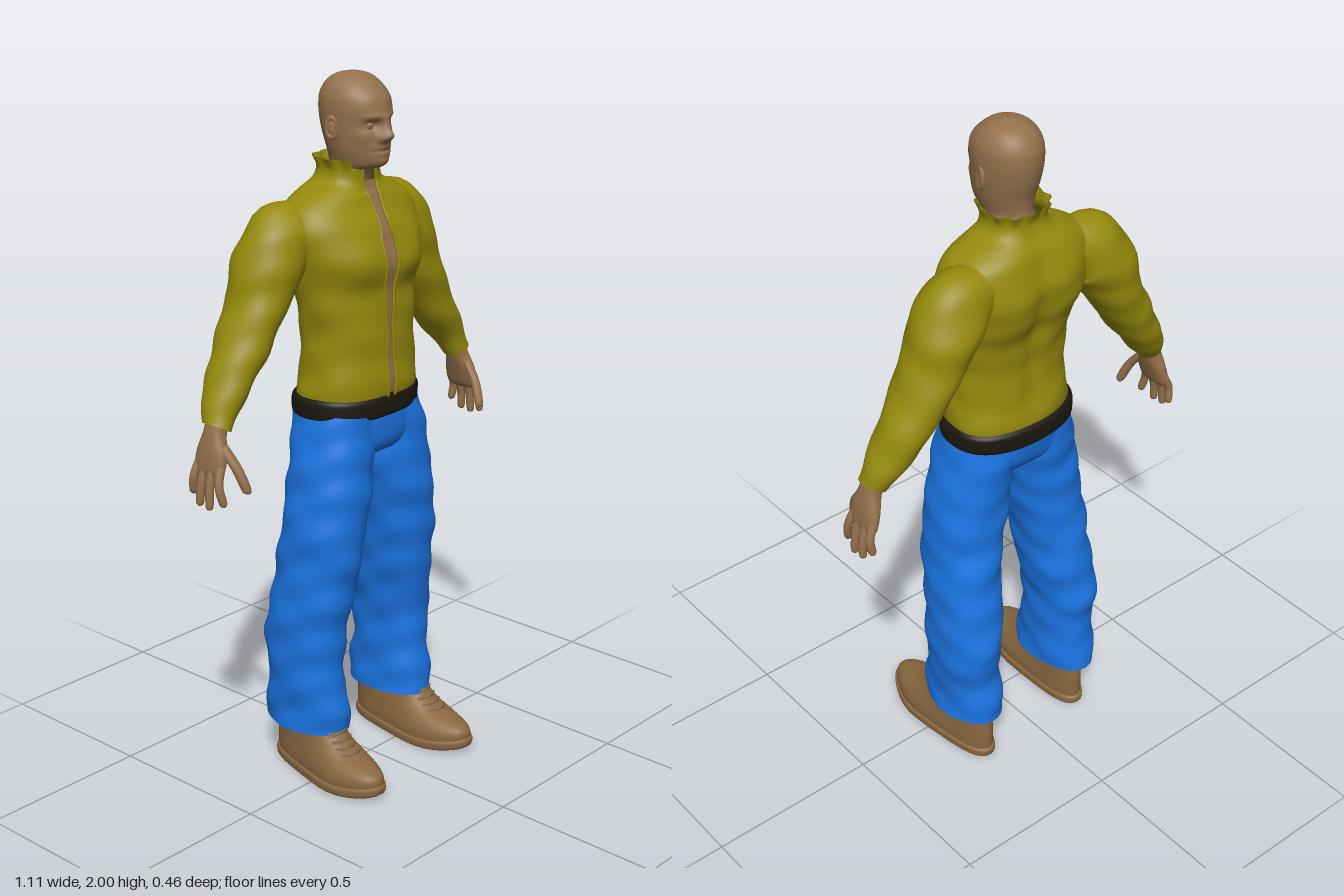
import * as THREE from 'three';

const mat = (color) => new THREE.MeshStandardMaterial({ color, roughness: 0.8, side: THREE.DoubleSide });
const skin = mat(0x94714c), jacketCloth = mat(0x958a0c), denim = mat(0x1a73e0);
const leather = mat(0x8a6840), darkCloth = mat(0x1c180f);

const gauss = (d, s) => Math.exp(-(d * d) / (2 * s * s));
const spow = (v, e) => Math.sign(v) * Math.abs(v) ** e;
const spline = (a, b, c, d, t) => b + 0.5 * t * (c - a + t * (2 * a - 5 * b + 4 * c - d + t * (3 * (b - c) + d - a)));

// Smooth skin over sections [x, y, zFront, zBack, halfWidth, gapHalfWidth]; bump pushes points outwards.
function loft(sections, { n = 40, steps = 6, pow = 2, bump, cap = false, strip = 0 } = {}) {
  const rows = [], last = sections.length - 1;
  const at = (i) => sections[Math.min(Math.max(i, 0), last)];
  for (let k = 0; k <= last * steps; k++) {
    const i = Math.min(Math.floor(k / steps), last - 1), t = k / steps - i;
    rows.push(at(i).map((_, c) => spline(at(i - 1)[c], at(i)[c], at(i + 1)[c], at(i + 2)[c], t)));
  }
  const open = strip > 0 || sections[0].length > 5, cols = open ? n + 1 : n;
  const pos = [], index = [];
  const ring = (k, size) => {
    const [x, y, zf, zb, a, gap = 0] = rows[k];
    const p = rows[Math.max(k - 1, 0)], q = rows[Math.min(k + 1, rows.length - 1)];
    const len = Math.hypot(q[0] - p[0], q[1] - p[1]) || 1;
    const ux = (q[1] - p[1]) / len, uy = -(q[0] - p[0]) / len;
    const g = strip ? Math.PI - strip : (gap / a) ** (pow / 2);
    for (let j = 0; j < cols; j++) {
      const th = (strip ? -Math.PI / 2 : Math.PI / 2) + g + (2 * Math.PI - 2 * g) * j / n;
      const c = Math.cos(th), s = Math.sin(th);
      const w = spow(c, 2 / pow) * a * size, h = spow(s, 2 / pow) * (zf - zb) / 2 * size;
      const px = x + ux * w, py = y + uy * w, pz = (zf + zb) / 2 + h;
      const o = bump ? bump(px, py, pz, s, th) * size : 0;
      pos.push(px + ux * c * o, py + uy * c * o, pz + s * o);
    }
  };
  if (cap) ring(0, 0.001);
  rows.forEach((_, k) => ring(k, 1));
  if (cap) ring(rows.length - 1, 0.001);
  const count = pos.length / 3 / cols;
  for (let i = 0; i < count - 1; i++) for (let j = 0; j < n; j++) {
    const j2 = (j + 1) % cols, a = i * cols + j, b = i * cols + j2;
    index.push(a, a + cols, b, b, a + cols, b + cols);
  }
  const geo = new THREE.BufferGeometry();
  geo.setAttribute('position', new THREE.Float32BufferAttribute(pos, 3));
  geo.setIndex(index);
  geo.computeVertexNormals();
  geo.userData.cols = cols;
  return geo;
}

function add(parent, name, geo, material) {
  const mesh = new THREE.Mesh(geo, material);
  mesh.name = name;
  parent.add(mesh);
  return mesh;
}
const mirror = (sections, s) => sections.map(([x, ...rest]) => [x * s, ...rest]);
const tube = (pts, r, seg = 12) => new THREE.TubeGeometry(new THREE.CatmullRomCurve3(pts), seg, r, 6);

// Cloth folds
const folds = (amp) => (x, y, z) => amp * (Math.sin(33 * y + 17 * x + 9 * z) * Math.sin(19 * z - 15 * x + 6 * y)
  + 0.6 * Math.sin(57 * y - 30 * z + 12 * x));

// Chest, shoulder blades, spine and frilled collar
function torsoBump(x, y, z, s, th) {
  const ax = Math.abs(x), front = Math.max(s, 0), back = Math.max(-s, 0);
  return front * (0.014 * gauss(ax - 0.1, 0.05) * gauss(y - 1.51, 0.045) - 0.008 * gauss(ax - 0.1, 0.07) * gauss(y - 1.42, 0.025))
    + back * (0.012 * gauss(ax - 0.1, 0.045) * gauss(y - 1.54, 0.07) - 0.016 * gauss(x, 0.022) * gauss(y - 1.45, 0.16))
    + (y > 1.74 ? 0.005 * Math.sin(th * 11) * (y - 1.74) / 0.03 : y < 1.68 ? folds(0.0025)(x, y, z) : 0);
}

// Nose, brow, eye sockets, mouth, chin and cheeks
function faceBump(x, y, z, s) {
  if (s <= 0) return 0;
  const ax = Math.abs(x);
  return s * (0.026 * gauss(x, 0.011) * gauss(y - 1.838, 0.012) + 0.016 * gauss(x, 0.009) * gauss(y - 1.864, 0.018)
    + 0.008 * gauss(ax - 0.015, 0.006) * gauss(y - 1.832, 0.007)
    + 0.008 * gauss(ax - 0.028, 0.022) * gauss(y - 1.888, 0.008) - 0.013 * gauss(ax - 0.034, 0.014) * gauss(y - 1.867, 0.011)
    + 0.007 * gauss(x, 0.022) * gauss(y - 1.797, 0.013) - 0.007 * gauss(x, 0.022) * gauss(y - 1.798, 0.003)
    + 0.008 * gauss(x, 0.02) * gauss(y - 1.765, 0.01) + 0.004 * gauss(ax - 0.055, 0.014) * gauss(y - 1.84, 0.014));
}

function buildHead(root) {
  const head = new THREE.Group();
  head.name = 'head';
  root.add(head);
  const rows = [[1.62, -0.03, -0.15, 0.07], [1.7, -0.02, -0.14, 0.062], [1.738, -0.005, -0.135, 0.06],
    [1.752, 0.032, -0.133, 0.062], [1.77, 0.046, -0.133, 0.068], [1.8, 0.05, -0.138, 0.077], [1.84, 0.05, -0.15, 0.084],
    [1.88, 0.05, -0.158, 0.088], [1.91, 0.052, -0.16, 0.089], [1.94, 0.043, -0.156, 0.085], [1.97, 0.015, -0.138, 0.069],
    [1.99, -0.015, -0.108, 0.043], [2, -0.055, -0.06, 0.002]];
  add(head, 'face and neck', loft(rows.map((r) => [0, ...r]), { n: 96, steps: 8, bump: faceBump }), skin);
  for (const s of [1, -1]) {
    const eye = add(head, 'eye', new THREE.SphereGeometry(0.013, 16, 12), skin);
    eye.position.set(s * 0.034, 1.866, 0.024);
    const ear = new THREE.Group();
    ear.name = 'ear';
    add(ear, 'ear rim', new THREE.TorusGeometry(0.018, 0.006, 8, 20), skin).scale.set(0.85, 1.45, 1);
    add(ear, 'ear bowl', new THREE.SphereGeometry(0.017, 14, 10), skin).scale.set(0.8, 1.4, 0.35);
    ear.position.set(s * 0.088, 1.857, -0.058);
    ear.rotation.y = s * (Math.PI / 2 - 0.3);
    head.add(ear);
  }
}

function buildJacket(root) {
  const body = [[0, 1.1, 0.075, -0.183, 0.182, 0.014], [0, 1.14, 0.08, -0.183, 0.184, 0.014], [0, 1.2, 0.077, -0.175, 0.178, 0.016],
    [0, 1.3, 0.073, -0.168, 0.174, 0.013], [0, 1.4, 0.073, -0.182, 0.188, 0.017], [0, 1.48, 0.077, -0.205, 0.205, 0.024],
    [0, 1.55, 0.068, -0.215, 0.222, 0.026], [0, 1.6, 0.05, -0.212, 0.224, 0.018], [0, 1.65, 0.024, -0.198, 0.205, 0.02],
    [0, 1.685, 0.006, -0.182, 0.15, 0.024], [0, 1.71, -0.002, -0.168, 0.098, 0.028], [0, 1.74, 0, -0.16, 0.084, 0.026],
    [0, 1.772, 0.006, -0.168, 0.093, 0.03]];
  const shell = loft(body, { n: 80, pow: 2.4, bump: torsoBump });
  add(root, 'jacket body', shell, jacketCloth);
  // Rolled hems along the open front
  const p = shell.attributes.position, cols = shell.userData.cols;
  for (const edge of [0, cols - 1]) {
    const pts = [];
    for (let i = edge; i < p.count; i += cols * 2) pts.push(new THREE.Vector3().fromBufferAttribute(p, i));
    add(root, 'jacket front hem', tube(pts, 0.005, 80), jacketCloth);
  }
  // Bare chest showing in the opening
  const chest = body.slice(0, 11).map(([x, y, f, b, a]) => [x, y, f - 0.006, b, a]);
  add(root, 'chest', loft(chest, { n: 24, pow: 2.4, bump: torsoBump, strip: 0.4 }), skin);
  const waist = [[0, 1.065, 0.074, -0.186, 0.185], [0, 1.075, 0.082, -0.194, 0.193], [0, 1.1, 0.084, -0.196, 0.195],
    [0, 1.12, 0.083, -0.194, 0.193], [0, 1.13, 0.074, -0.184, 0.183]];
  add(root, 'waistband', loft(waist, { n: 64, pow: 2.4, bump: folds(0.0015) }), darkCloth);
}

function buildArm(root, s) {
  const arm = new THREE.Group();
  arm.name = s > 0 ? 'leftArm' : 'rightArm';
  root.add(arm);
  const sleeve = [[0.15, 1.6, -0.05, -0.19, 0.07], [0.22, 1.57, -0.03, -0.212, 0.1], [0.272, 1.5, -0.028, -0.224, 0.095],
    [0.31, 1.42, -0.035, -0.218, 0.078], [0.36, 1.33, -0.04, -0.21, 0.067], [0.42, 1.235, -0.05, -0.195, 0.058],
    [0.467, 1.165, -0.056, -0.168, 0.046], [0.495, 1.115, -0.058, -0.147, 0.038]];
  add(arm, 'sleeve', loft(mirror(sleeve, s), { bump: folds(0.003) }), jacketCloth);
  const palm = [[0.484, 1.15, -0.07, -0.135, 0.025], [0.5, 1.1, -0.068, -0.135, 0.026], [0.514, 1.05, -0.048, -0.15, 0.023],
    [0.524, 1.005, -0.048, -0.153, 0.017], [0.527, 0.988, -0.06, -0.143, 0.01]];
  add(arm, 'palm', loft(mirror(palm, s), { n: 24, pow: 2.4, cap: true }), skin);
  const digit = (name, pts, r) => {
    const rows = pts.map(([x, y, z], i) => [x, y, z + r * (1 - i * 0.1), z - r * (1 - i * 0.1), r * (1 - i * 0.1)]);
    const [x, y, z] = pts[pts.length - 1];
    rows.push([x, y - r * 0.7, z + 0.002, z - 0.002, 0.002]);
    add(arm, name, loft(mirror(rows, s), { n: 12, steps: 4, cap: true }), skin);
  };
  // Fingers: [root z, tip z, tip x, tip y]
  for (const [z, tz, tx, ty] of [[-0.06, -0.04, 0.535, 0.925], [-0.087, -0.082, 0.545, 0.91], [-0.114, -0.118, 0.545, 0.914], [-0.14, -0.15, 0.537, 0.938]])
    digit('finger', [[0.522, 1.02, z], [0.54, (1.02 + ty) / 2, (z + tz) / 2], [tx, ty, tz]], 0.0135);
  digit('thumb', [[0.508, 1.075, -0.07], [0.497, 1.02, -0.027], [0.485, 0.96, -0.002]], 0.016);
}

function buildTrousers(root) {
  const hips = [[0, 1.09, 0.074, -0.18, 0.184], [0, 1.04, 0.075, -0.172, 0.192], [0, 0.99, 0.07, -0.163, 0.195],
    [0, 0.955, 0.045, -0.13, 0.17], [0, 0.935, -0.02, -0.07, 0.1]];
  add(root, 'trouser hips', loft(hips, { n: 56, pow: 2.4, bump: folds(0.002) }), denim);
  const leg = [[0.098, 1.08, 0.07, -0.17, 0.088], [0.106, 1, 0.074, -0.166, 0.103], [0.12, 0.9, 0.08, -0.162, 0.108],
    [0.139, 0.8, 0.081, -0.162, 0.107], [0.153, 0.7, 0.076, -0.17, 0.102], [0.164, 0.6, 0.066, -0.185, 0.097],
    [0.173, 0.5, 0.05, -0.2, 0.096], [0.183, 0.4, 0.038, -0.213, 0.09], [0.182, 0.3, 0.04, -0.205, 0.085],
    [0.178, 0.2, 0.053, -0.216, 0.086], [0.178, 0.145, 0.057, -0.222, 0.087]];
  for (const s of [1, -1])
    add(root, s > 0 ? 'leftTrouserLeg' : 'rightTrouserLeg', loft(mirror(leg, s), { n: 48, pow: 2.2, bump: folds(0.004) }), denim);
}

function buildShoe(root, s) {
  const shoe = new THREE.Group();
  shoe.name = s > 0 ? 'leftShoe' : 'rightShoe';
  // Wider at the ball of the foot, with the toe lifted
  const shape = (geo) => {
    const p = geo.attributes.position;
    for (let i = 0; i < p.count; i++) {
      const z = p.getZ(i);
      p.setX(i, p.getX(i) * (0.86 + 0.26 * gauss(z - 0.1, 0.09)));
      p.setY(i, p.getY(i) + 0.02 * Math.max(0, (z - 0.08) / 0.15) ** 2);
    }
    geo.computeVertexNormals();
    return geo;
  };
  const upper = [[0, 0.02, 0.222, -0.205, 0.071], [0, 0.045, 0.222, -0.207, 0.072], [0, 0.065, 0.205, -0.207, 0.07],
    [0, 0.085, 0.165, -0.207, 0.066], [0, 0.1, 0.125, -0.206, 0.064], [0, 0.12, 0.085, -0.204, 0.061],
    [0, 0.15, 0.05, -0.2, 0.058], [0, 0.18, 0.02, -0.19, 0.054]];
  add(shoe, 'shoe upper', shape(loft(upper, { pow: 2.3, cap: true })), leather);
  const sole = [[0, 0, 0.218, -0.205, 0.07], [0, 0.006, 0.228, -0.213, 0.076], [0, 0.024, 0.23, -0.214, 0.077], [0, 0.03, 0.222, -0.206, 0.072]];
  add(shoe, 'shoe sole', shape(loft(sole, { steps: 3, pow: 2.3, cap: true })), leather);
  for (const [y, z] of [[0.108, 0.115], [0.12, 0.092], [0.134, 0.073], [0.15, 0.056]])
    for (const d of [1, -1])
      add(shoe, 'lace', tube([[-0.036, -0.006 - 0.005 * d, -0.014], [0, 0.003, 0.004], [0.036, -0.006 + 0.005 * d, -0.014]]
        .map(([a, b, c]) => new THREE.Vector3(a, y + b, z + c)), 0.0035), leather);
  shoe.position.set(s * 0.183, 0, 0);
  shoe.rotation.y = s > 0 ? -0.02 : -0.12;
  root.add(shoe);
}

export function createModel() {
  const root = new THREE.Group();
  root.name = 'standing man';
  buildHead(root);
  buildJacket(root);
  buildTrousers(root);
  for (const s of [1, -1]) {
    buildArm(root, s);
    buildShoe(root, s);
  }
  return root;
}
